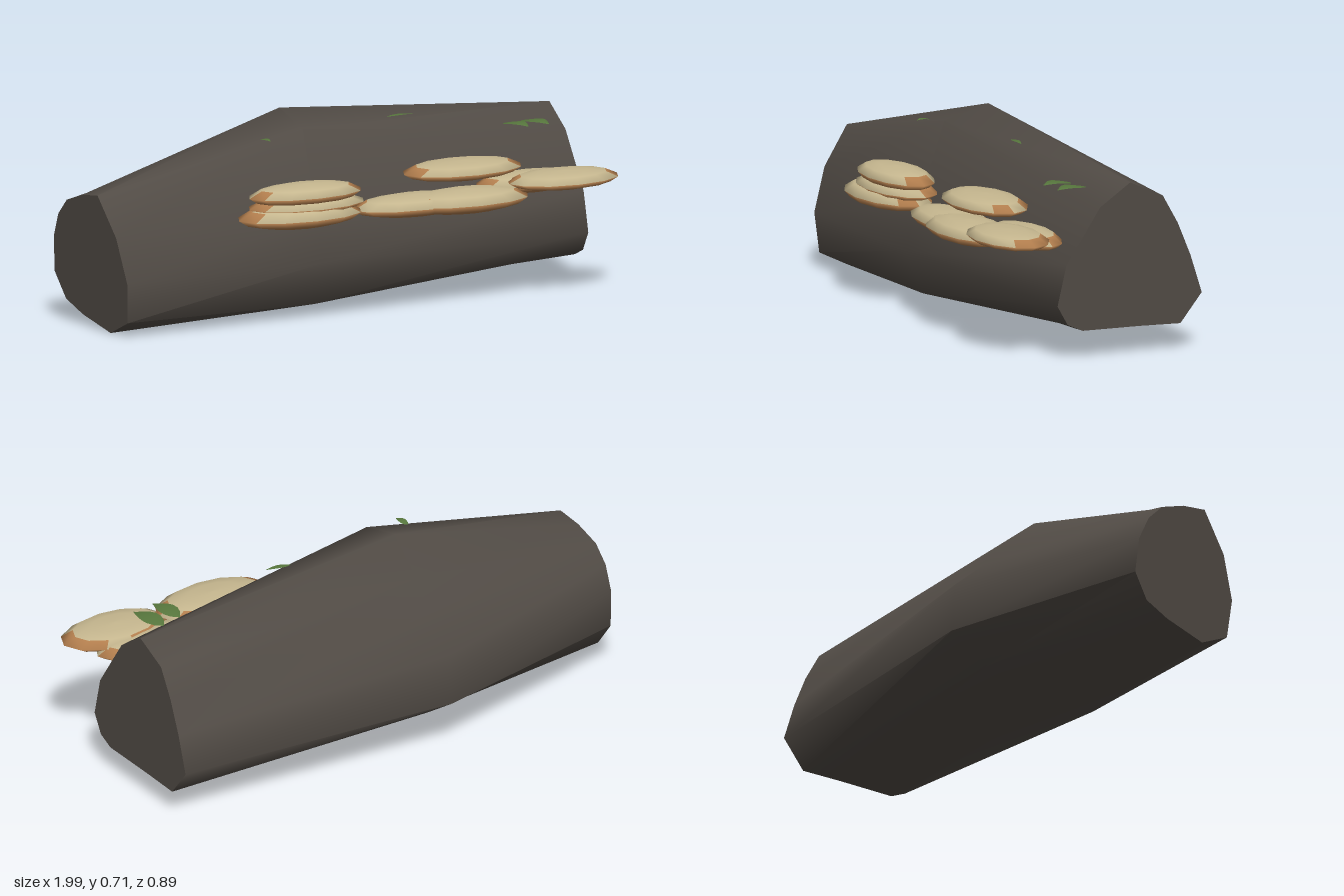
import * as THREE from 'three';
import { toCreasedNormals } from 'three/addons/utils/BufferGeometryUtils.js';

const bark = new THREE.MeshStandardMaterial({ name: 'bark', color: 0x514b45 });
const tan = new THREE.MeshStandardMaterial({ name: 'fungusTop', color: 0xc6b78f });
const brown = new THREE.MeshStandardMaterial({ name: 'fungusRim', color: 0xb5804f });
const green = new THREE.MeshStandardMaterial({ name: 'leafGreen', color: 0x57773d, side: THREE.DoubleSide });

// Log cross-sections as [z, y], starting at the top and running over the back
const leftRing = [[-0.03, 0.485], [-0.13, 0.45], [-0.19, 0.39], [-0.23, 0.3], [-0.24, 0.17], [-0.18, 0.08],
  [-0.08, 0.04], [0.09, 0], [0.205, 0.055], [0.22, 0.2], [0.17, 0.36], [0.07, 0.5]];
const midRing = [[-0.08, 0.712], [-0.22, 0.595], [-0.3, 0.49], [-0.43, 0.375], [-0.445, 0.19], [-0.295, 0.09],
  [-0.145, 0.072], [0, 0.03], [0.18, 0.045], [0.25, 0.207], [0.2, 0.36], [0.095, 0.665]];
const rightRing = [[-0.09, 0.625], [-0.22, 0.565], [-0.28, 0.46], [-0.33, 0.34], [-0.375, 0.2], [-0.29, 0.095],
  [-0.13, 0.1], [0.1, 0.103], [0.16, 0.13], [0.2, 0.2], [0.165, 0.345], [0.03, 0.545]];

function logGeometry() {
  const n = midRing.length, pos = [], idx = [];
  const rings = [
    [leftRing, (z, y) => -0.945 + 0.1 * z - 0.08 * y], // slanted cut
    [midRing, () => -0.16],
    [rightRing, () => 0.94],
  ];
  for (const [ring, x] of rings) for (const [z, y] of ring) pos.push(x(z, y), y, z);
  pos.push(-0.965, 0.25, 0, 0.94, 0.32, -0.08); // cap centres
  for (let i = 0; i < n; i++) {
    const k = (i + 1) % n;
    for (const o of [0, n]) idx.push(o + i, o + n + i, o + n + k, o + i, o + n + k, o + k);
    idx.push(3 * n, i, k, 3 * n + 1, 2 * n + k, 2 * n + i);
  }
  const g = new THREE.BufferGeometry();
  g.setAttribute('position', new THREE.Float32BufferAttribute(pos, 3));
  g.setIndex(idx);
  return toCreasedNormals(g, 1.0);
}

// Unit bracket cap: pale upper faces, brown underside and back rim
function bracketGeometry(seed) {
  const profile = [[0, -1], [0.5, -0.92], [0.85, -0.55], [1, 0], [0.78, 0.65], [0.45, 0.92], [0, 1]]
    .map(([r, y]) => new THREE.Vector2(r, y));
  const sides = 12, bands = profile.length - 1;
  const g = new THREE.LatheGeometry(profile, sides);
  for (let i = 0; i < sides; i++) {
    const facing = Math.cos((i + 0.5) / sides * Math.PI * 2);
    for (let j = 0; j < bands; j++) {
      const patch = facing < 0.35 && (i + seed) % 4 !== 0;
      const pale = j > 3 || (j === 3 && !patch);
      g.addGroup((i * bands + j) * 6, 6, pale ? 0 : 1);
    }
  }
  return g;
}

// Pointed, slightly arched leaf blade running along +z
function leafGeometry() {
  const g = new THREE.PlaneGeometry(1, 1, 2, 6).rotateX(-Math.PI / 2);
  const p = g.attributes.position;
  for (let i = 0; i < p.count; i++) {
    const t = p.getZ(i) + 0.5;
    const w = Math.sin(Math.PI * Math.pow(t, 0.8));
    p.setXYZ(i, p.getX(i) * w, 0.5 * Math.sin(Math.PI * t * 0.8) - Math.abs(p.getX(i)) * 0.2, t - 0.5);
  }
  g.computeVertexNormals();
  return g;
}

export function createModel() {
  const model = new THREE.Group();
  const log = new THREE.Mesh(logGeometry(), bark);
  log.name = 'log';
  model.add(log);

  // Bracket fungi: x, y, z, half width, half height, half depth
  const fungi = new THREE.Group();
  fungi.name = 'bracketFungi';
  [
    [-0.235, 0.468, 0.25, 0.225, 0.037, 0.11],
    [-0.265, 0.395, 0.265, 0.245, 0.042, 0.132],
    [-0.23, 0.428, 0.25, 0.23, 0.03, 0.12],
    [0.21, 0.385, 0.25, 0.25, 0.038, 0.115],
    [0.4, 0.387, 0.28, 0.25, 0.042, 0.125],
    [0.415, 0.488, 0.225, 0.235, 0.034, 0.13],
    [0.7, 0.415, 0.21, 0.22, 0.036, 0.105],
    [0.775, 0.434, 0.315, 0.218, 0.032, 0.128],
  ].forEach(([x, y, z, w, h, d], i) => {
    const cap = new THREE.Mesh(bracketGeometry(i), [tan, brown]);
    cap.name = 'bracketCap';
    cap.position.set(x, y, z);
    cap.scale.set(w, h, d);
    fungi.add(cap);
  });
  model.add(fungi);

  // Leaves: x, y, z, width, rise, length, turn
  const leaves = new THREE.Group();
  leaves.name = 'leaves';
  const blade = leafGeometry();
  [
    [0.71, 0.59, 0.085, 0.075, 0.03, 0.13, 0.25],
    [0.795, 0.588, 0.07, 0.08, 0.03, 0.14, 0.3],
    [0.27, 0.66, 0.025, 0.025, 0.01, 0.1, 1.45],
    [-0.315, 0.637, 0.1, 0.03, 0.02, 0.06, 0.2],
  ].forEach(([x, y, z, w, h, l, turn]) => {
    const leaf = new THREE.Mesh(blade, green);
    leaf.name = 'leaf';
    leaf.position.set(x, y, z);
    leaf.scale.set(w, h, l);
    leaf.rotation.y = turn;
    leaves.add(leaf);
  });
  model.add(leaves);
  return model;
}
